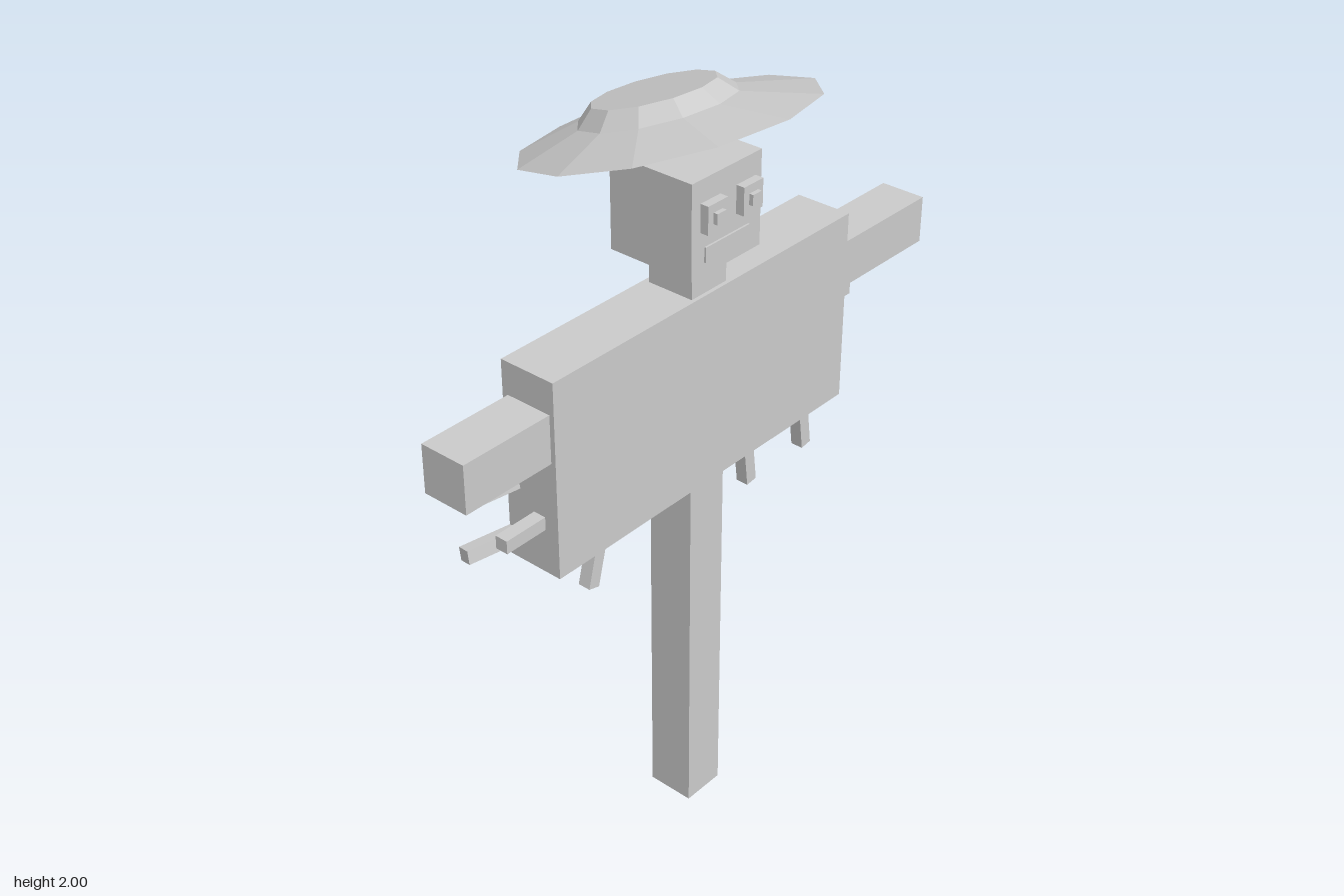
import * as THREE from 'three';

const grey = new THREE.MeshStandardMaterial({ color: 0xcccccc, flatShading: true });

export function createModel() {
  const model = new THREE.Group();
  model.name = 'scarecrow';

  const add = (name, geometry, parent = model) => {
    const mesh = new THREE.Mesh(geometry, grey);
    mesh.name = name;
    parent.add(mesh);
    return mesh;
  };

  // Box given by its ranges on the three axes
  const box = (name, [x0, x1], [y0, y1], [z0, z1]) => {
    const mesh = add(name, new THREE.BoxGeometry(x1 - x0, y1 - y0, z1 - z0));
    mesh.position.set((x0 + x1) / 2, (y0 + y1) / 2, (z0 + z1) / 2);
    return mesh;
  };

  // Square stick between two points
  const stick = (name, a, b, width = 0.034) => {
    const from = new THREE.Vector3(...a), to = new THREE.Vector3(...b);
    const dir = to.clone().sub(from);
    const mesh = add(name, new THREE.BoxGeometry(width, dir.length(), width));
    mesh.position.copy(from).add(to).multiplyScalar(0.5);
    mesh.quaternion.setFromUnitVectors(new THREE.Vector3(0, 1, 0), dir.normalize());
  };

  // Wooden frame and clothed body
  box('pole', [-0.1, 0.02], [0, 1.63], [0.015, 0.143]);
  box('crossbar', [-0.814, 0.81], [1.309, 1.434], [0.016, 0.14]).rotation.z = -0.003;
  box('body', [-0.56, 0.472], [1.005, 1.52], [0, 0.153]);

  // Head and face
  box('head', [-0.163, 0.073], [1.61, 1.846], [-0.042, 0.195]);
  for (const x of [-0.101, 0.02]) {
    box('eye', [x - 0.033, x + 0.033], [1.72, 1.79], [0.18, 0.217]);
    box('pupil', [x - 0.015, x + 0.015], [1.742, 1.769], [0.2, 0.228]);
  }
  box('mouth', [-0.12, 0.03], [1.642, 1.68], [0.18, 0.2]);

  // Hat tipped back: shallow cone below, wide brim and low crown above
  const hat = new THREE.Group();
  hat.name = 'hat';
  hat.position.set(-0.015, 1.878, 0);
  hat.rotation.x = -0.314;
  model.add(hat);
  const under = add('hatUnderside', new THREE.ConeGeometry(0.354, 0.067, 12, 1, true), hat);
  under.rotation.x = Math.PI;
  under.position.y = -0.0335;
  const brim = add('brim', new THREE.CylinderGeometry(0.187, 0.354, 0.045, 12, 1, true), hat);
  brim.position.y = 0.0225;
  // The crown sits a little off centre, so the brim's inner ring follows it
  const p = brim.geometry.attributes.position;
  for (let i = 0; i < p.count; i++) if (p.getY(i) > 0) p.setX(i, p.getX(i) - 0.02);
  const crown = add('crown', new THREE.CylinderGeometry(0.146, 0.187, 0.038, 12), hat);
  crown.position.set(-0.02, 0.064, 0);

  // Straw poking out of the sides
  const sideStraws = [
    [[-0.5, 1.215, 0.03], [-0.703, 1.215, -0.003]],
    [[-0.5, 1.14, 0.097], [-0.68, 1.14, 0.097]],
    [[-0.5, 1.07, 0.03], [-0.698, 1.07, -0.006]],
    [[0.4, 1.27, 0.097], [0.548, 1.27, 0.097]],
    [[0.44, 1.176, -0.01], [0.618, 1.176, 0.033]],
    [[0.4, 1.055, 0.097], [0.52, 1.055, 0.097]],
  ];
  for (const [a, b] of sideStraws) stick('sideStraw', a, b);

  // Straw hanging from the hem: top x, bottom x, top z, bottom z
  const hemStraws = [
    [-0.375, -0.41, 0.097, 0.097], [-0.317, -0.297, 0.018, 0.016],
    [-0.155, -0.18, 0.037, -0.003], [0.153, 0.17, 0.097, 0.097],
    [0.275, 0.247, 0.037, -0.003], [0.373, 0.392, 0.097, 0.097],
  ];
  for (const [x0, x1, z0, z1] of hemStraws) stick('hemStraw', [x0, 1.01, z0], [x1, 0.873, z1]);

  return model;
}
